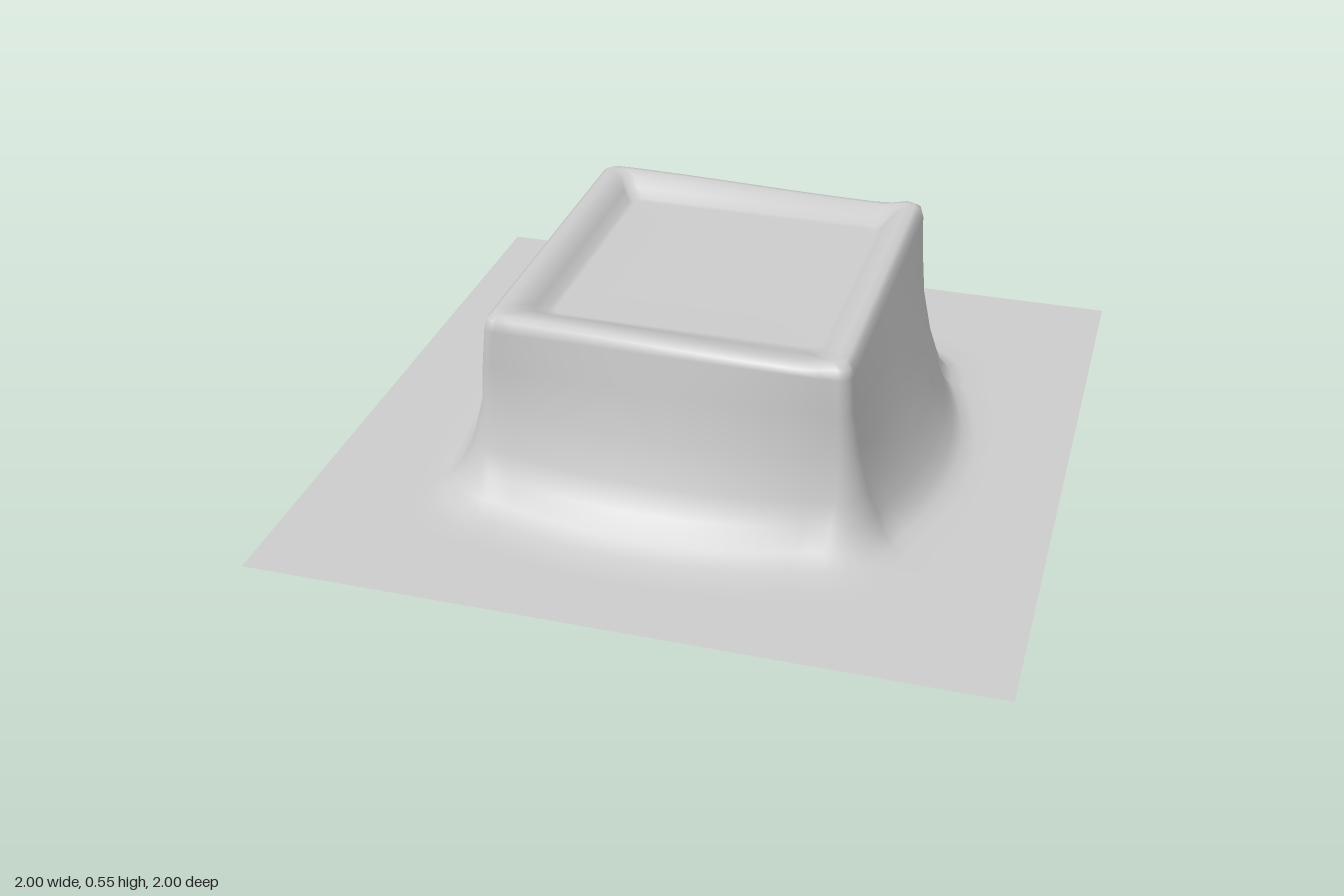
import * as THREE from 'three';

// Mesa profile from the dish floor outwards: height, half extents to
// right (+x), front (+z), left (-x), back (-z), corner radius, side bow
const LEVELS = [
  [0.500, 0.20, 0.20, 0.20, 0.20, 0.02, 0],
  [0.500, 0.355, 0.35, 0.36, 0.375, 0.02, 0],
  [0.503, 0.37, 0.37, 0.375, 0.39, 0.03, 0],
  [0.520, 0.39, 0.405, 0.40, 0.42, 0.03, 0],
  [0.538, 0.41, 0.44, 0.42, 0.45, 0.03, 0],
  [0.546, 0.44, 0.475, 0.45, 0.475, 0.03, 0],
  [0.545, 0.465, 0.495, 0.475, 0.49, 0.03, 0],
  [0.535, 0.48, 0.51, 0.49, 0.50, 0.03, 0],
  [0.510, 0.488, 0.516, 0.50, 0.505, 0.035, 0],
  [0.400, 0.52, 0.525, 0.53, 0.51, 0.04, 0.3],
  [0.270, 0.56, 0.54, 0.56, 0.52, 0.06, 0.6],
  [0.150, 0.605, 0.575, 0.60, 0.538, 0.09, 0.8],
  [0.080, 0.64, 0.61, 0.632, 0.565, 0.13, 0.9],
  [0.035, 0.67, 0.665, 0.665, 0.59, 0.17, 1],
  [0.010, 0.70, 0.72, 0.695, 0.62, 0.21, 1],
  [0.000, 0.74, 0.78, 0.725, 0.65, 0.24, 1],
  [0.000, 0.78, 0.82, 0.77, 0.70, 0.25, 0.8],
  [0.000, 1.00, 1.00, 1.00, 1.00, 0.00, 0],
];
const BOW = [0.09, 0.07, 0.04, 0.01]; // how far each side bows out at its middle
const SIDE = 20, CORNER = 8;

// One loop: four bowed sides joined by round corners
function loop([y, r, f, l, b, radius, bow]) {
  const ext = [r, f, l, b];
  const end = ext.map((e, i) => e - BOW[i] * bow); // extents where the corners begin
  const points = [];
  for (let s = 0; s < 4; s++) {
    const next = (s + 1) % 4, prev = (s + 3) % 4;
    const c = Math.round(Math.cos(s * Math.PI / 2)), d = Math.round(Math.sin(s * Math.PI / 2));
    const add = (out, along) => points.push([out * c - along * d, y, out * d + along * c]);
    const from = -(end[prev] - radius), to = end[next] - radius;
    for (let i = 0; i < SIDE; i++) {
      const t = i / SIDE;
      add(end[s] + BOW[s] * bow * (1 - (2 * t - 1) ** 2), from + (to - from) * t);
    }
    for (let i = 0; i < CORNER; i++) {
      const a = i / CORNER * Math.PI / 2;
      add(end[s] - radius + radius * Math.cos(a), to + radius * Math.sin(a));
    }
  }
  return points;
}

// The rim sags gently towards +x and lifts again on the corner
function rimOffset(x, y) {
  if (y < 0.505) return 0;
  const k = Math.min(1, (y - 0.505) / 0.03);
  const sag = 0.008 - 0.018 * THREE.MathUtils.smoothstep(x, -0.45, 0.36);
  return k * (sag + 0.013 * THREE.MathUtils.smoothstep(x, 0.37, 0.44));
}

function terrainGeometry() {
  const positions = [0, LEVELS[0][0], 0], index = [];
  const n = 4 * (SIDE + CORNER);
  LEVELS.forEach((level, k) => {
    for (const [x, y, z] of loop(level)) positions.push(x, y + rimOffset(x, y), z);
    for (let i = 0; i < n; i++) {
      const j = (i + 1) % n, outer = 1 + k * n, inner = outer - n;
      if (k === 0) index.push(0, outer + j, outer + i);
      else index.push(inner + i, inner + j, outer + i, inner + j, outer + j, outer + i);
    }
  });
  const geometry = new THREE.BufferGeometry();
  geometry.setAttribute('position', new THREE.Float32BufferAttribute(positions, 3));
  geometry.setIndex(index);
  geometry.computeVertexNormals();
  return geometry;
}

export function createModel() {
  const group = new THREE.Group();
  group.name = 'mesaTerrain';
  const grey = new THREE.MeshStandardMaterial({ color: 0xcccccc, side: THREE.DoubleSide });
  grey.name = 'plainGrey';
  const terrain = new THREE.Mesh(terrainGeometry(), grey);
  terrain.name = 'terrainSheet';
  group.add(terrain);
  return group;
}
